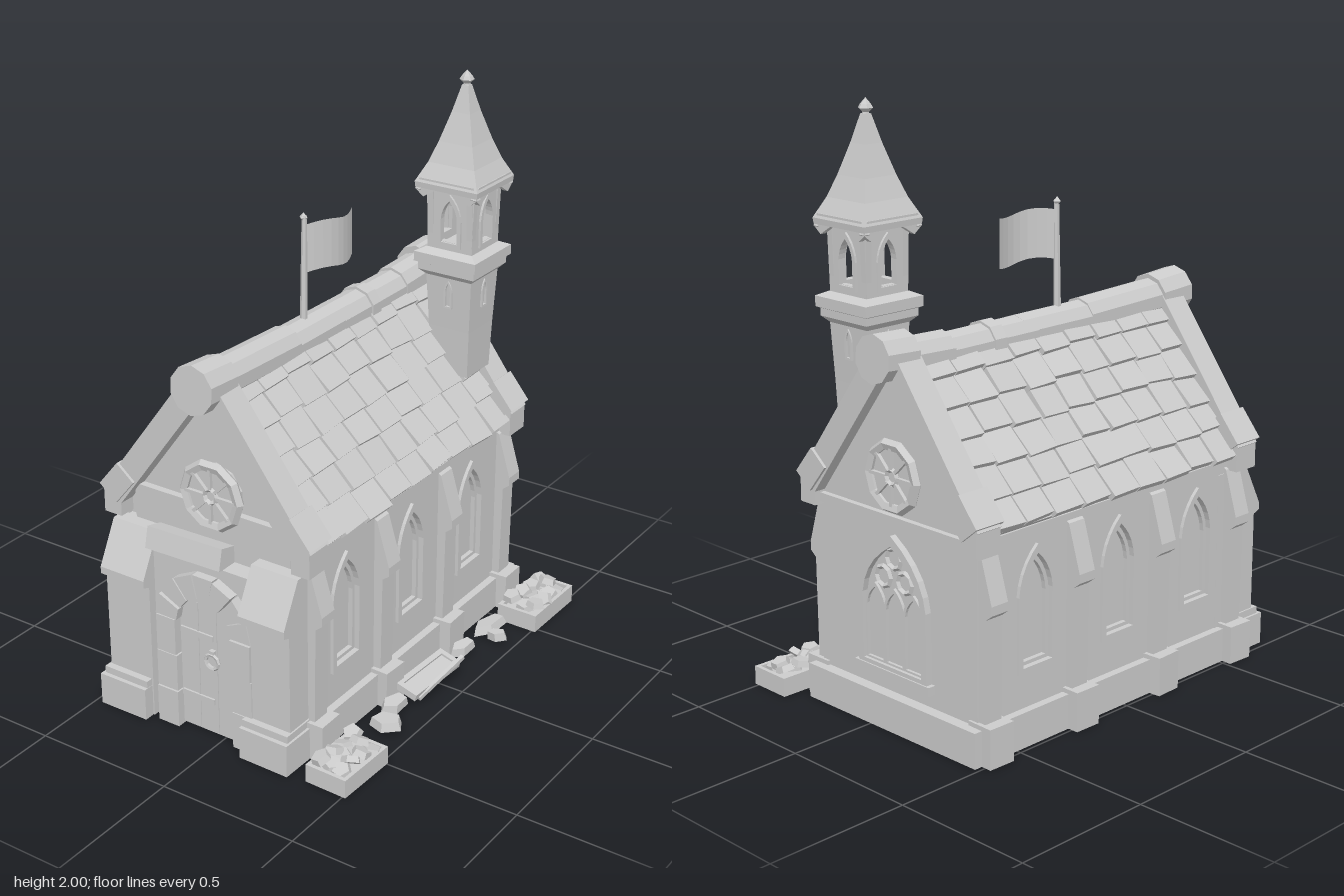
import * as THREE from 'three';

const stone = new THREE.MeshStandardMaterial({ color: 0xcccccc, flatShading: true });
const thin = new THREE.MeshStandardMaterial({ color: 0xcccccc, flatShading: true, side: THREE.DoubleSide });

let seed = 7;
const rnd = (a) => { seed = (seed * 16807) % 2147483647; return (seed / 2147483647 * 2 - 1) * a; };

function add(parent, name, geo, pos = [0, 0, 0], rot = [0, 0, 0], mat = stone) {
  const m = new THREE.Mesh(geo, mat);
  m.name = name;
  m.position.set(...pos);
  m.rotation.set(...rot);
  parent.add(m);
}
function group(parent, name, pos = [0, 0, 0], rot = [0, 0, 0]) {
  const g = new THREE.Group();
  g.name = name;
  g.position.set(...pos);
  g.rotation.set(...rot);
  parent.add(g);
  return g;
}
const box = (w, h, d) => new THREE.BoxGeometry(w, h, d);
const poly = (pts) => new THREE.Shape(pts.map((p) => new THREE.Vector2(...p)));
const extrude = (shape, depth) =>
  new THREE.ExtrudeGeometry(shape, { depth, bevelEnabled: false, curveSegments: 5 }).translate(0, 0, -depth / 2);

// Pointed arch outline: half width, bottom, spring line, tip, centre
function lancet(w, y0, ys, yt, Type = THREE.Shape, x = 0) {
  const s = new Type();
  s.moveTo(x - w, y0); s.lineTo(x + w, y0); s.lineTo(x + w, ys);
  s.quadraticCurveTo(x + w * 0.9, ys + (yt - ys) * 0.6, x, yt);
  s.quadraticCurveTo(x - w * 0.9, ys + (yt - ys) * 0.6, x - w, ys);
  return s;
}
function lancetFrame(w, y0, ys, yt, t, depth) {
  const s = lancet(w, y0, ys, yt);
  s.holes.push(lancet(w - t, y0 + t, ys, yt - t * 1.5, THREE.Path));
  return extrude(s, depth);
}

// Round window with spokes
function roseWindow(parent, pos, rotY) {
  const g = group(parent, 'roseWindow', pos, [0, rotY, 0]);
  add(g, 'roseRim', new THREE.TorusGeometry(0.107, 0.019, 5, 10));
  add(g, 'roseHub', new THREE.TorusGeometry(0.025, 0.009, 4, 8), [0, 0, 0.005]);
  add(g, 'rosePane', new THREE.CylinderGeometry(0.105, 0.105, 0.04, 10), [0, 0, -0.018], [Math.PI / 2, 0, 0]);
  for (let i = 0; i < 8; i++) {
    const a = i * Math.PI / 4;
    add(g, 'roseSpoke', box(0.075, 0.011, 0.016), [Math.cos(a) * 0.064, Math.sin(a) * 0.064, 0.006], [0, 0, a]);
  }
}

// Roof pitch, and a point at distance d down the slope on side s
const ANGLE = Math.atan(1.35);
const onSlope = (s, d, top, z) => [s * d * Math.cos(ANGLE), top - d * Math.sin(ANGLE), z];

function buildNave(root) {
  const c = group(root, 'church', [-0.09, 0, 0]);
  add(c, 'naveCore', extrude(poly([[-0.342, 0], [0.342, 0], [0.342, 0.74], [0, 1.2], [-0.342, 0.74]]), 1.23), [0, 0, -0.03]);
  add(c, 'plinth', box(0.79, 0.12, 1.29), [0, 0.06, -0.04]);
  const windows = [0.385, -0.005, -0.39];

  for (const s of [-1, 1]) {
    // Side wall with recessed pointed windows
    const wall = poly([[-0.645, 0], [0.585, 0], [0.585, 0.72], [-0.645, 0.72]].map(([z, y]) => [-s * z, y]));
    for (const z of windows) wall.holes.push(lancet(0.07, 0.255, 0.5, 0.635, THREE.Path, -s * z));
    add(c, 'sideWall', extrude(wall, 0.028), [s * 0.353, 0, 0], [0, s * Math.PI / 2, 0]);
    for (const z of windows) {
      const w = group(c, 'sideWindow', [s * 0.362, 0, z], [0, s * Math.PI / 2, 0]);
      add(w, 'windowFrame', lancetFrame(0.085, 0.24, 0.5, 0.66, 0.02, 0.034));
      add(w, 'innerFrame', lancetFrame(0.066, 0.258, 0.49, 0.625, 0.014, 0.016), [0, 0, -0.01]);
    }
    // Buttresses with sloped caps and footings
    const profile = poly([[-0.02, 0.1], [0.03, 0.1], [0.035, 0.48], [0.06, 0.5], [0.06, 0.53], [0.012, 0.69], [-0.02, 0.71]]);
    for (const z of [0.565, 0.18, -0.215, -0.605]) {
      add(c, 'buttress', extrude(profile, 0.07), [s * 0.365, 0, z], [0, s > 0 ? 0 : Math.PI, 0]);
      add(c, 'buttressFoot', box(0.1, 0.135, 0.1), [s * 0.385, 0.0675, z], [0, rnd(0.05), 0]);
    }
    // Overlapping roof tiles
    const tiles = group(c, 'roofTiles');
    add(tiles, 'roofDeck', box(0.62, 0.03, 1.2), onSlope(s, 0.31, 1.225, -0.02), [0, 0, -s * ANGLE]);
    for (let row = 0; row < 6; row++) {
      for (let col = 0; col < 9; col++) {
        const d = 0.068 + row * 0.1045 + rnd(0.008);
        add(tiles, 'tile', box(0.13, 0.028, 0.122 + rnd(0.005)), onSlope(s, d, 1.262, 0.5 - col * 0.129 + rnd(0.003)),
          [rnd(0.05), rnd(0.05), -s * (ANGLE - 0.17 + rnd(0.05))]);
      }
    }
    // Gable copings and kneeler stones
    for (const z of [0.595, -0.637]) {
      add(c, 'gableCoping', box(0.62, 0.085, 0.1), onSlope(s, 0.33, 1.262, z), [0, 0, -s * ANGLE]);
      add(c, 'kneeler', box(0.12, 0.085, 0.12), onSlope(s, 0.585, 1.278, z), [0, 0, -s * (ANGLE - 0.05)]);
      add(c, 'kneelerFoot', box(0.07, 0.09, 0.1), [s * 0.375, 0.73, z]);
    }
  }

  // Ridge roll in uneven lengths with heavy end stones
  const ridge = (len, r, y, z, tilt = 0) => add(c, 'ridgeStone', new THREE.CylinderGeometry(r, r * 0.98, len, 10),
    [0.003, y, z], [Math.PI / 2 + tilt, 0, 0]);
  ridge(0.14, 0.083, 1.236, 0.62, -0.06);
  ridge(0.37, 0.071, 1.222, 0.38, -0.03);
  ridge(0.34, 0.069, 1.21, 0.06);
  ridge(0.05, 0.076, 1.21, -0.24);
  ridge(0.42, 0.069, 1.208, -0.27);
  ridge(0.17, 0.071, 1.218, -0.52, 0.04);
  ridge(0.13, 0.081, 1.238, -0.66, 0.05);

  // Gable walls
  add(c, 'frontBand', box(0.64, 0.025, 0.05), [0, 0.79, 0.585]);
  add(c, 'backBand', box(0.72, 0.03, 0.04), [0, 0.71, -0.645]);
  roseWindow(c, [0.013, 0.85, 0.615], 0);
  roseWindow(c, [0, 0.85, -0.65], Math.PI);

  // Large traceried back window
  const bw = group(c, 'backWindow', [0, 0, -0.643], [0, Math.PI, 0]);
  add(bw, 'backFrame', lancetFrame(0.16, 0.19, 0.44, 0.66, 0.024, 0.05));
  add(bw, 'backPane', extrude(lancet(0.14, 0.21, 0.44, 0.63), 0.008));
  for (const x of [-0.09, 0, 0.09]) {
    add(bw, 'lancetTracery', lancetFrame(0.048, 0.21, 0.4, 0.48, 0.011, 0.028), [x, 0, 0]);
  }
  for (const [x, y] of [[-0.05, 0.51], [0.05, 0.51], [0, 0.58]]) {
    add(bw, 'traceryRing', new THREE.TorusGeometry(0.034, 0.009, 4, 8), [x, y, 0.008]);
  }
  add(bw, 'backSill', box(0.35, 0.03, 0.06), [0, 0.185, 0]);
  return c;
}

function buildPorch(c) {
  const p = group(c, 'porch');
  // Side piers with sloped shoulders
  const pier = poly([[0.5, 0], [0.7, 0], [0.7, 0.49], [0.728, 0.5], [0.728, 0.525], [0.65, 0.675], [0.5, 0.675]]);
  for (const s of [-1, 1]) {
    add(p, 'porchPier', extrude(pier, 0.18), [s * 0.28, 0, 0], [0, -Math.PI / 2, 0]);
    add(p, 'pierFoot', box(0.19, 0.115, 0.17), [s * 0.29, 0.0575, 0.655], [0, rnd(0.02), 0]);
    add(p, 'pierFootCap', box(0.18, 0.03, 0.15), [s * 0.286, 0.125, 0.65]);
  }
  add(p, 'porchWall', box(0.42, 0.63, 0.15), [0, 0.315, 0.595]);
  add(p, 'porchUpperWall', box(0.62, 0.2, 0.06), [0, 0.69, 0.575]);
  add(p, 'porchTablet', box(0.3, 0.075, 0.09), [-0.06, 0.655, 0.635], [-0.25, 0, 0.02]);

  // Door arch of jamb blocks and wedge stones
  const door = group(p, 'doorway', [0.03, 0, 0.665]);
  for (const s of [-1, 1]) {
    for (let i = 0; i < 3; i++) {
      add(door, 'jambStone', box(0.08 + rnd(0.005), 0.133, 0.08), [s * 0.15, 0.068 + i * 0.137, rnd(0.005)]);
    }
  }
  const n = 7;
  for (let i = 0; i < n; i++) {
    const a0 = Math.PI * i / n + 0.015, a1 = Math.PI * (i + 1) / n - 0.015;
    const pt = (r, a) => [Math.cos(a) * r, Math.sin(a) * r];
    add(door, 'archStone', extrude(poly([pt(0.105, a0), pt(0.19, a0), pt(0.19, a1), pt(0.105, a1)]), 0.08),
      [0, 0.41, rnd(0.006)]);
  }
  const leaf = poly([[-0.11, 0.01], [0.11, 0.01], [0.11, 0.41]]);
  leaf.absarc(0, 0.41, 0.11, 0, Math.PI, false);
  add(door, 'doorLeaf', extrude(leaf, 0.03));
  for (const x of [-0.037, 0.037]) add(door, 'doorGroove', box(0.005, 0.47, 0.004), [x, 0.25, 0.016]);
  for (const y of [0.13, 0.37]) add(door, 'doorHinge', box(0.13, 0.02, 0.008), [-0.04, y, 0.018]);
  add(door, 'doorRing', new THREE.TorusGeometry(0.026, 0.007, 5, 10), [0.025, 0.29, 0.026]);
  add(door, 'ringBoss', box(0.02, 0.03, 0.02), [0.025, 0.315, 0.02]);
}

function buildTower(root) {
  const t = group(root, 'bellTower', [0.138, 0, -0.535]);
  const square = (pts) => new THREE.LatheGeometry(pts.map(([r, y]) => new THREE.Vector2(r * Math.SQRT2, y)), 4).rotateY(Math.PI / 4);
  add(t, 'towerShaft', square([[0, 0.93], [0.074, 0.93], [0.08, 1.1], [0.09, 1.31], [0, 1.31]]));
  add(t, 'towerCornice', square([[0.08, 1.28], [0.11, 1.31], [0.11, 1.335], [0.121, 1.34], [0.121, 1.375], [0.09, 1.39], [0, 1.39]]));
  for (let i = 0; i < 4; i++) {
    const side = group(t, 'belfrySide', [0, 0, 0], [0, i * Math.PI / 2, 0]);
    const wall = poly([[-0.086, 1.38], [0.086, 1.38], [0.094, 1.62], [-0.094, 1.62]]);
    wall.holes.push(lancet(0.036, 1.42, 1.5, 1.57, THREE.Path));
    add(side, 'belfryWall', extrude(wall, 0.022), [0, 0, 0.077]);
    add(side, 'belfryArch', lancetFrame(0.046, 1.405, 1.5, 1.59, 0.014, 0.016), [0, 0, 0.088]);
    const eave = poly([[-0.122, 1.6], [-0.09, 1.575], [-0.05, 1.6], [0, 1.625], [0.05, 1.6], [0.09, 1.575], [0.122, 1.6], [0.105, 1.64], [-0.105, 1.64]]);
    add(side, 'spireEave', extrude(eave, 0.02), [0, 0, 0.108]);
    add(side, 'shaftSlit', lancetFrame(0.016, 1.18, 1.24, 1.28, 0.007, 0.02), [0, 0, 0.083]);
  }
  add(t, 'spire', square([[0, 1.61], [0.12, 1.605], [0.122, 1.625], [0.09, 1.69], [0.065, 1.76], [0.035, 1.86], [0.012, 1.95], [0, 1.95]]));
  add(t, 'finial', new THREE.LatheGeometry([[0, 1.93], [0.014, 1.94], [0.011, 1.955], [0.025, 1.968], [0.018, 1.98], [0, 2]]
    .map((p) => new THREE.Vector2(...p)), 6));
}

function buildFlag(root) {
  const f = group(root, 'flag');
  add(f, 'flagPole', new THREE.CylinderGeometry(0.009, 0.013, 0.38, 6), [-0.085, 1.44, 0.09], [0, 0, -0.015]);
  add(f, 'poleTip', new THREE.OctahedronGeometry(0.016), [-0.085, 1.625, 0.09]);
  const cloth = new THREE.PlaneGeometry(1, 0.165, 8, 2);
  const p = cloth.attributes.position;
  for (let i = 0; i < p.count; i++) {
    const t = p.getX(i) + 0.5;
    p.setXYZ(i, -0.085 + t * 0.025 + 0.04 * Math.sin(Math.PI * t), p.getY(i) + 1.515 + 0.008 * Math.sin(t * 6), 0.09 - t * 0.24);
  }
  add(f, 'flagCloth', cloth, [0, 0, 0], [0, 0, 0], thin);
}

function buildRubble(root) {
  // Stone-filled planter boxes
  for (const [z, len] of [[-0.615, 0.27], [0.61, 0.235]]) {
    const b = group(root, 'planterBox', [0.437, 0, z], [0, rnd(0.03), 0]);
    for (const s of [-1, 1]) {
      add(b, 'planterSide', box(0.014, 0.065, len), [s * 0.071, 0.0325, 0]);
      add(b, 'planterEnd', box(0.155, 0.065, 0.014), [0, 0.0325, s * (len / 2 - 0.007)]);
    }
    add(b, 'planterSoil', box(0.14, 0.05, len - 0.02), [0, 0.025, 0]);
    for (let i = 0; i < 12; i++) {
      add(b, 'planterStone', new THREE.CylinderGeometry(0.03, 0.036, 0.022, 5),
        [((i % 3) - 1) * 0.04 + rnd(0.008), 0.075 + rnd(0.018), (Math.floor(i / 3) - 1.5) * len * 0.21 + rnd(0.01)],
        [rnd(0.45), rnd(3), rnd(0.45)]);
    }
  }
  // Fallen frame, plank and scattered slabs
  const f = group(root, 'fallenFrame', [0.385, 0.05, 0.04], [0, -0.04, -0.25]);
  for (const s of [-1, 1]) {
    add(f, 'frameRail', box(0.02, 0.025, 0.27), [s * 0.034, 0, 0]);
    add(f, 'frameEnd', box(0.085, 0.025, 0.02), [0, 0, s * 0.125]);
  }
  add(f, 'framePanel', box(0.05, 0.01, 0.25));
  add(root, 'loosePlank', box(0.014, 0.014, 0.23), [0.44, 0.06, 0.045], [0.3, -0.18, 0]);
  for (const [x, z, w, d] of [[0.375, -0.39, 0.08, 0.16], [0.435, -0.345, 0.08, 0.05], [0.375, -0.205, 0.06, 0.12], [0.37, 0.23, 0.07, 0.13], [0.41, 0.335, 0.12, 0.1]]) {
    add(root, 'fallenSlab', new THREE.CylinderGeometry(0.42, 0.5, 1, 5).scale(w, 0.03, d), [x, 0.03, z], [rnd(0.2), rnd(0.3), rnd(0.2)]);
  }
}

export function createModel() {
  seed = 7;
  const root = new THREE.Group();
  root.name = 'chapel';
  const church = buildNave(root);
  buildPorch(church);
  buildTower(root);
  buildFlag(root);
  buildRubble(root);
  return root;
}
